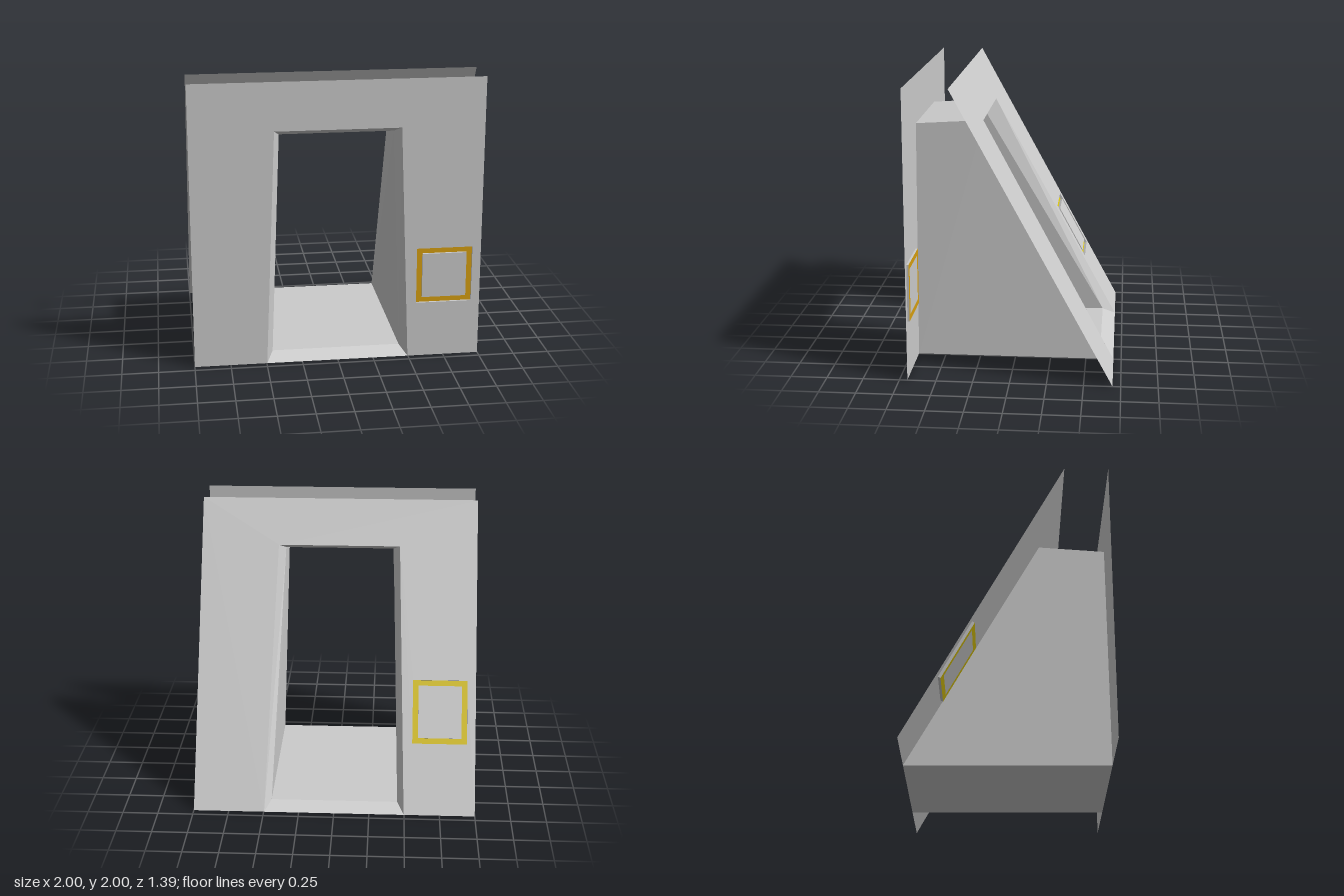
import * as THREE from 'three';

const grey = new THREE.MeshStandardMaterial({ color: 0xcccccc, flatShading: true, side: THREE.DoubleSide });
const paint = (color) => new THREE.MeshStandardMaterial({ color, flatShading: true, side: THREE.DoubleSide });

const DEPTH = 0.695;                 // half depth of the model
const LEAN = Math.atan(1.086 / 2);   // tilt of the rear wall

function add(parent, name, geometry, material = grey) {
  const mesh = new THREE.Mesh(geometry, material);
  mesh.name = name;
  parent.add(mesh);
  return mesh;
}

function polygon(points, Type = THREE.Shape) {
  return new Type(points.map(([x, y]) => new THREE.Vector2(x, y)));
}

const rect = (x0, x1, y0, y1) => [[x0, y0], [x1, y0], [x1, y1], [x0, y1]];

// Four-cornered rings joined by quads
function loft(rings) {
  const pos = [];
  for (let i = 0; i < rings.length - 1; i++) {
    const [a, b] = [rings[i], rings[i + 1]];
    for (let j = 0; j < 4; j++) {
      const k = (j + 1) % 4;
      pos.push(...a[j], ...b[j], ...b[k], ...a[j], ...b[k], ...a[k]);
    }
  }
  const g = new THREE.BufferGeometry();
  g.setAttribute('position', new THREE.Float32BufferAttribute(pos, 3));
  g.computeVertexNormals();
  return g;
}

// Trapezoid ring: half width, height and z at the bottom and the top
const ring = (b, y0, z0, t, y1, z1) => [[-b, y0, z0], [b, y0, z0], [t, y1, z1], [-t, y1, z1]];

// Thin wall with a doorway and a recessed square panel in a coloured groove
function makeWall(name, { height, doorBottom, doorTop, doorHeight, panelY, panelHeight, recess, color }) {
  const wall = new THREE.Group();
  wall.name = name;
  const [x0, x1, y0, y1] = [0.55, 0.94, panelY, panelY + panelHeight];
  const rim = 0.04;

  const sheet = polygon([
    [-1, 0], [-doorBottom, 0], [-doorTop, doorHeight], [doorTop, doorHeight],
    [doorBottom, 0], [1, 0], [1, height], [-1, height],
  ]);
  sheet.holes.push(polygon(rect(x0, x1, y0, y1), THREE.Path));
  add(wall, 'wallSheet', new THREE.ShapeGeometry(sheet));

  // recess sides
  const edge = (z) => rect(x0, x1, y0, y1).map(([x, y]) => [x, y, z]);
  add(wall, 'recessSides', loft([edge(-recess), edge(0)]));

  // coloured groove
  const groove = polygon(rect(x0, x1, y0, y1));
  groove.holes.push(polygon(rect(x0 + rim, x1 - rim, y0 + rim, y1 - rim), THREE.Path));
  add(wall, 'panelGroove', new THREE.ShapeGeometry(groove), paint(color)).position.z = -recess;

  // raised centre panel
  const pane = new THREE.BoxGeometry(x1 - x0 - 2 * rim, y1 - y0 - 2 * rim, recess);
  add(wall, 'panelCentre', pane).position.set((x0 + x1) / 2, (y0 + y1) / 2, -recess / 2);
  return wall;
}

export function createModel() {
  const model = new THREE.Group();
  model.name = 'slantedDoorway';
  const slope = 1 / Math.cos(LEAN);

  const front = makeWall('frontWall', {
    height: 2, doorBottom: 0.497, doorTop: 0.43, doorHeight: 1.665,
    panelY: 0.4, panelHeight: 0.4, recess: 0.015, color: 0xd79f10,
  });
  front.position.z = DEPTH;

  const rear = makeWall('leaningRearWall', {
    height: 2 * slope, doorBottom: 0.497, doorTop: 0.44, doorHeight: 1.695 * slope,
    panelY: 0.445 * slope, panelHeight: 0.4 * slope, recess: 0.02, color: 0xd8c210,
  });
  rear.rotation.order = 'YXZ';
  rear.rotation.set(-LEAN, Math.PI, 0);
  rear.position.z = -DEPTH;
  model.add(front, rear);

  // Passage between the doorways, with a bevelled lining
  const passage = new THREE.Group();
  passage.name = 'passage';
  const frontDoor = ring(0.497, 0, DEPTH, 0.43, 1.665, DEPTH);
  const rearDoor = ring(0.497, 0, -DEPTH, 0.44, 1.695, 0.225);
  const frontInner = ring(0.45, 0.05, 0.595, 0.39, 1.62, 0.595);
  const rearInner = ring(0.45, 0.05, -0.6, 0.395, 1.645, 0.325);
  add(passage, 'passageShell', loft([frontDoor, rearDoor]));
  add(passage, 'rearBevel', loft([rearDoor, rearInner]));
  add(passage, 'passageLining', loft([rearInner, frontInner]));
  add(passage, 'frontBevel', loft([frontInner, frontDoor]));
  model.add(passage);

  return model;
}
